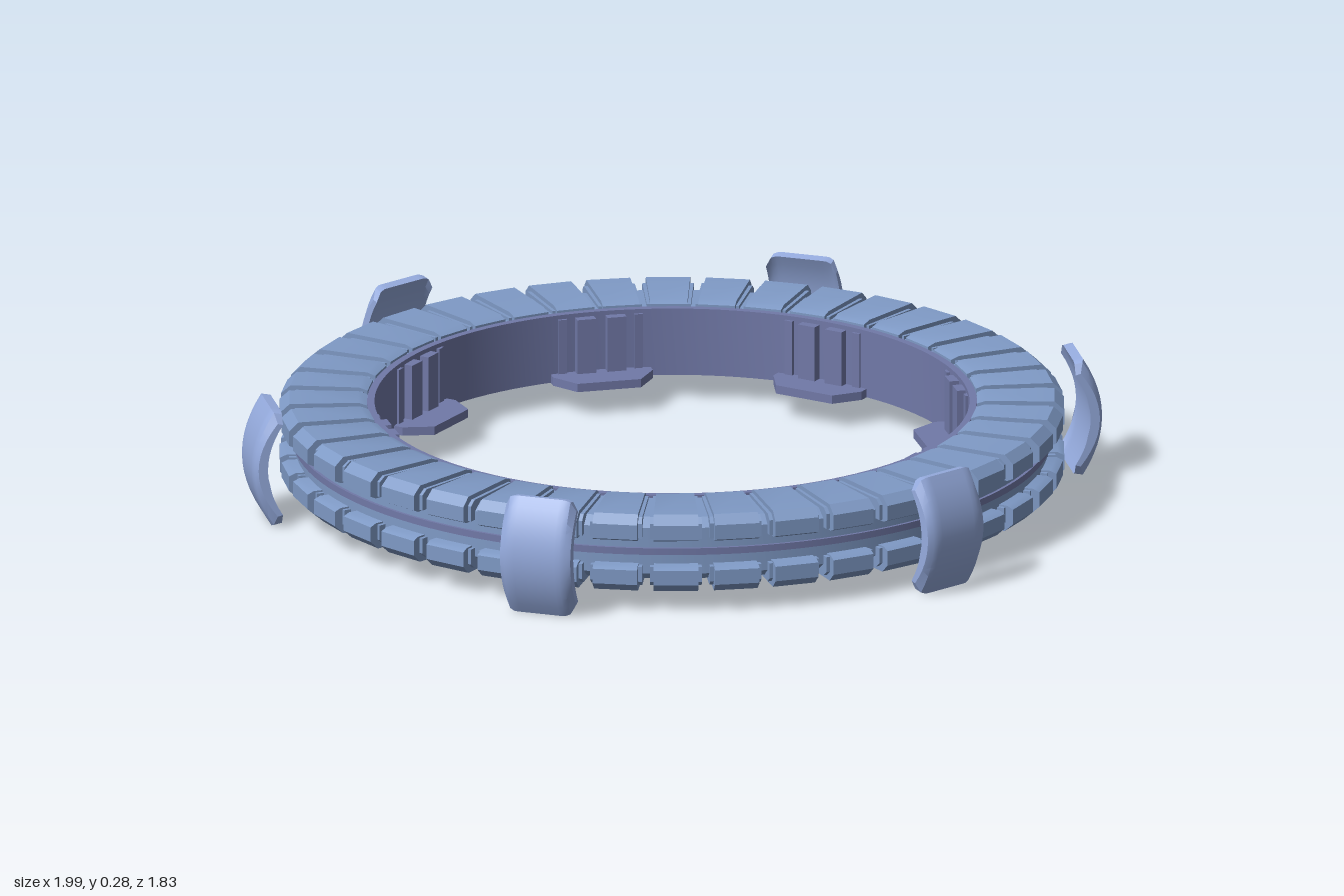
import * as THREE from 'three';
import { toCreasedNormals } from 'three/addons/utils/BufferGeometryUtils.js';

const MID = 0.14; // height of the ring's centre plane
const steel = new THREE.MeshStandardMaterial({ color: 0x7f9ac6 });
const plate = new THREE.MeshStandardMaterial({ color: 0x96acdf });
const violet = new THREE.MeshStandardMaterial({ color: 0x7179a8 });

const shapeOf = (pts) => new THREE.Shape(pts.map((p) => new THREE.Vector2(p[0], p[1])));

// Extrude a (radius, height) section along the tangent, then move its vertices by a rule
function sweep(pts, width, steps, rule) {
  const geo = new THREE.ExtrudeGeometry(shapeOf(pts), { depth: width, steps, bevelEnabled: false });
  geo.translate(0, 0, -width / 2);
  const pos = geo.attributes.position;
  const v = new THREE.Vector3();
  for (let i = 0; i < pos.count; i++) {
    v.fromBufferAttribute(pos, i);
    rule(v);
    pos.setXYZ(i, v.x, v.y, v.z);
  }
  return toCreasedNormals(geo, 0.5);
}

// Closed ring from a counter-clockwise (radius, height) section
function ring(name, pts, material) {
  const loop = [...pts, pts[0]].map((p) => new THREE.Vector2(p[0], p[1]));
  const mesh = new THREE.Mesh(toCreasedNormals(new THREE.LatheGeometry(loop, 120), 0.5), material);
  mesh.name = name;
  mesh.position.y = MID;
  return mesh;
}

// Repeat a set of parts around the vertical axis
function around(name, count, startDeg, build) {
  const group = new THREE.Group();
  group.name = name;
  for (let i = 0; i < count; i++) {
    const arm = new THREE.Group();
    arm.position.y = MID;
    arm.rotation.y = -THREE.MathUtils.degToRad(startDeg + (i * 360) / count);
    arm.add(...build());
    group.add(arm);
  }
  return group;
}

function part(name, geometry, material, x = 0, y = 0, z = 0) {
  const mesh = new THREE.Mesh(geometry, material);
  mesh.name = name;
  mesh.position.set(x, y, z);
  return mesh;
}

export function createModel() {
  const model = new THREE.Group();
  model.name = 'segmentedRing';

  // Core: inner wall and the recessed drum behind the blocks
  model.add(ring('innerWall', [[0.683, -0.08], [0.7, -0.08], [0.7, 0.08], [0.683, 0.08]], violet));
  model.add(ring('core', [[0.695, -0.074], [0.84, -0.074], [0.865, -0.055], [0.865, 0.055],
    [0.84, 0.074], [0.695, 0.074]], steel));
  model.add(ring('channelBand', [[0.85, -0.008], [0.872, -0.008], [0.872, 0.008], [0.85, 0.008]], violet));

  // Tapered blocks, in an upper and a lower row
  const taper = (v) => { v.z *= 1 - (0.9 - v.x) * 0.9; };
  const blockGeo = sweep([[0.7, 0.03], [0.885, 0.03], [0.9, 0.037], [0.9, 0.072],
    [0.878, 0.092], [0.72, 0.092], [0.7, 0.085]], 0.104, 1, taper);
  const shoulderGeo = sweep([[0.71, 0.034], [0.88, 0.034], [0.88, 0.07],
    [0.865, 0.082], [0.71, 0.082]], 0.122, 1, taper);
  model.add(around('blocks', 40, 4.5, () => [0, Math.PI].flatMap((turn) => {
    const pair = [part('block', blockGeo, steel), part('blockShoulder', shoulderGeo, steel)];
    pair.forEach((mesh) => { mesh.rotation.x = turn; });
    return pair;
  })));

  // Inner tabs low on the wall, each under a pair of upright ribs
  const tabShape = shapeOf([[0.59, -0.075], [0.65, -0.118], [0.688, -0.118],
    [0.688, 0.118], [0.65, 0.118], [0.59, 0.075]]);
  const tabGeo = new THREE.ExtrudeGeometry(tabShape, { depth: 0.02, bevelEnabled: false });
  tabGeo.rotateX(Math.PI / 2);
  const ribGeo = new THREE.BoxGeometry(0.03, 0.14, 0.045);
  const stripGeo = new THREE.BoxGeometry(0.02, 0.14, 0.02);
  model.add(around('innerTabs', 8, 0, () => [
    part('tab', tabGeo, violet, 0, -0.06, 0),
    ...[-1, 1].flatMap((s) => [
      part('rib', ribGeo, violet, 0.675, 0, s * 0.036),
      part('ribStrip', stripGeo, violet, 0.68, 0, s * 0.09),
    ]),
  ]));

  // Bowed shields standing clear of the ring
  const bow = (y, mid, drop) => mid - drop * (y / 0.14) ** 2;
  const heights = Array.from({ length: 13 }, (_, i) => -0.14 + (i * 0.28) / 12);
  const section = [
    ...heights.map((y) => [bow(y, 0.995, 0.045), y]),
    ...heights.slice().reverse().map((y) => [bow(y, 0.963, 0.035), y * 0.97]),
  ];
  const shieldGeo = sweep(section, 0.17, 14, (v) => {
    const edge = Math.max(0, Math.abs(v.z) - 0.057) / 0.028; // 0 inside, 1 at the side
    const outer = v.x > bow(v.y, 0.979, 0.04);
    v.y *= 1 - 0.2 * (1 - Math.sqrt(Math.max(0, 1 - edge * edge)));
    if (outer) v.x -= 0.01 * edge * edge;
  });
  model.add(around('shields', 6, 2.7, () => [part('shield', shieldGeo, plate)]));

  return model;
}
